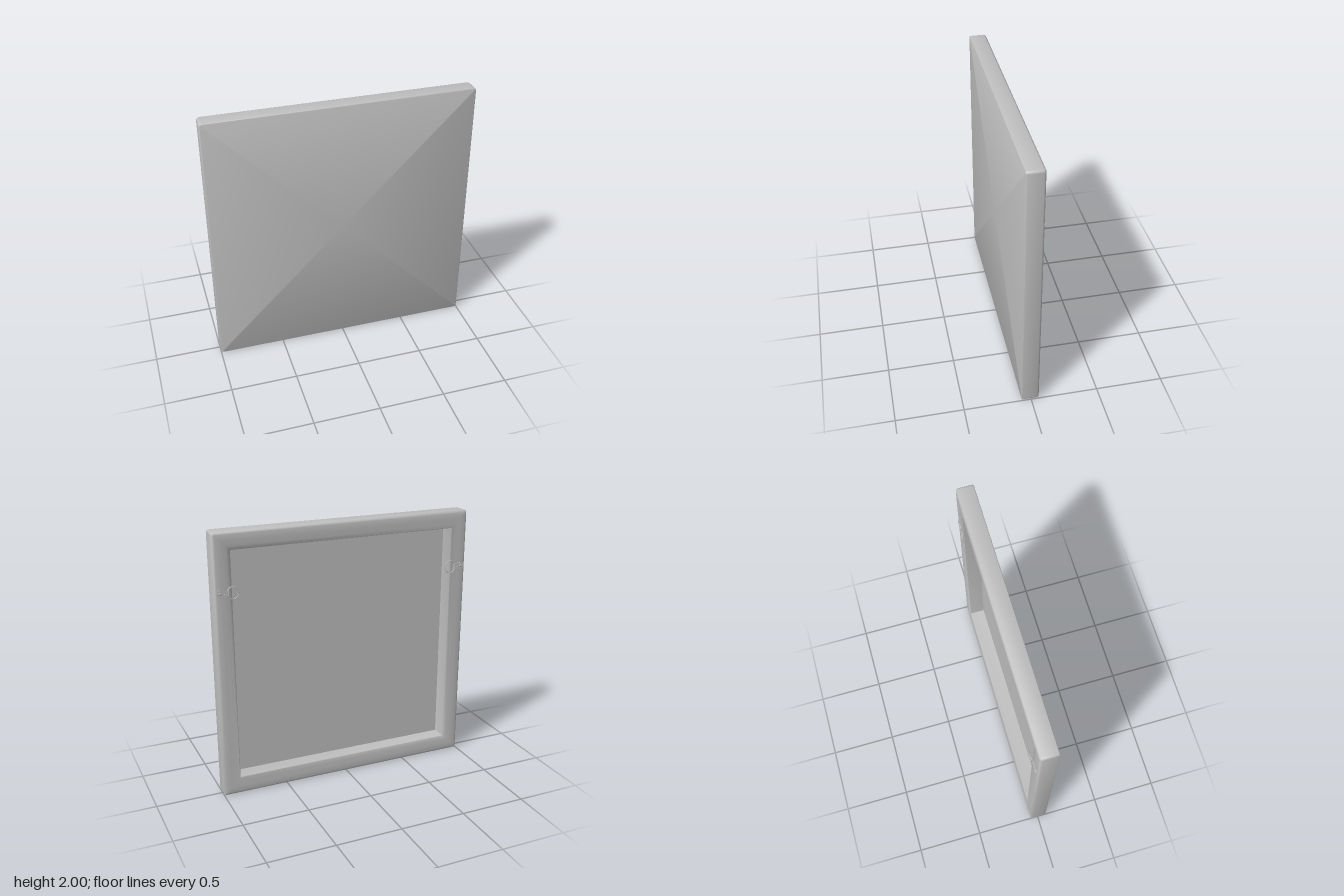
import * as THREE from 'three';
import { toCreasedNormals } from 'three/addons/utils/BufferGeometryUtils.js';

const HANGER_Y = 1.57;
const BACK_Z = -0.062;

// Rounded square outline, counter-clockwise, inset from the outer edge
function ring(inset, z, steps = 4) {
  const half = 1 - inset;
  const r = Math.min(half, Math.max(0.001, 0.02 - inset));
  const points = [];
  for (let corner = 0; corner < 4; corner++) {
    const mid = Math.PI / 4 + corner * Math.PI / 2;
    const cx = Math.sign(Math.cos(mid)) * (half - r);
    const cy = Math.sign(Math.sin(mid)) * (half - r);
    for (let s = 0; s <= steps; s++) {
      const a = (corner + s / steps) * Math.PI / 2;
      points.push([cx + r * Math.cos(a), 1 + cy + r * Math.sin(a), z]);
    }
  }
  return points;
}

// Joins consecutive outlines into one skin
function loft(rings) {
  const n = rings[0].length;
  const index = [];
  for (let k = 0; k < rings.length - 1; k++) {
    for (let j = 0; j < n; j++) {
      const a = k * n + j, b = k * n + (j + 1) % n;
      index.push(a, a + n, b, b, a + n, b + n);
    }
  }
  const geometry = new THREE.BufferGeometry();
  geometry.setAttribute('position', new THREE.Float32BufferAttribute(rings.flat(2), 3));
  geometry.setIndex(index);
  return toCreasedNormals(geometry, 0.75);
}

function createHanger(material) {
  const hanger = new THREE.Group();
  const add = (name, geometry, x, z) => {
    const mesh = new THREE.Mesh(geometry, material);
    mesh.name = name;
    mesh.position.set(x, 0, z);
    hanger.add(mesh);
    return mesh;
  };

  // Round-ended strap with an open screw hole
  const strap = new THREE.Shape();
  strap.absarc(0.955, 0, 0.028, -Math.PI / 2, Math.PI / 2);
  strap.lineTo(0.895, 0.02);
  strap.lineTo(0.895, -0.02);
  const hole = new THREE.Path();
  hole.absarc(0.927, 0, 0.007, 0, Math.PI * 2, true);
  strap.holes.push(hole);
  add('hangerStrap', new THREE.ExtrudeGeometry(strap, { depth: 0.005, bevelEnabled: false, curveSegments: 12 }), 0, BACK_Z - 0.004);

  // Domed screw head
  const screw = add('hangerScrew', new THREE.SphereGeometry(0.012, 16, 8), 0.958, BACK_Z - 0.004);
  screw.scale.z = 0.33;

  // Folded end of the strap that holds the ring
  add('ringSleeve', new THREE.CylinderGeometry(0.005, 0.005, 0.04, 10), 0.898, BACK_Z - 0.003);

  // Wire ring reaching over the opening
  const wire = add('hangerRing', new THREE.TorusGeometry(0.044, 0.0035, 8, 32), 0.866, BACK_Z - 0.0045);
  wire.scale.set(0.95, 1.05, 1);
  return hanger;
}

export function createModel() {
  const model = new THREE.Group();
  const grey = new THREE.MeshStandardMaterial({ color: 0xbfbfbf });
  grey.name = 'canvas grey';

  // Canvas skin: front face, wrapped sides, soft back rails, inner walls, back of the panel
  const profile = [
    [1, 0.07], [0.006, 0.07], [0.002, 0.068], [0, 0.063], [0, -0.044],
    [0.003, -0.052], [0.009, -0.058], [0.02, -0.061], [0.06, BACK_Z], [0.1, -0.06],
    [0.124, -0.056], [0.13, -0.052], [0.13, 0.063], [1, 0.063],
  ];
  const canvas = new THREE.Mesh(loft(profile.map(([inset, z]) => ring(inset, z))), grey);
  canvas.name = 'stretchedCanvas';
  model.add(canvas);

  // A ring hanger on each side rail
  for (const side of ['left', 'right']) {
    const hanger = createHanger(grey);
    hanger.name = side + 'Hanger';
    hanger.position.y = HANGER_Y;
    hanger.rotation.z = side === 'left' ? 0 : Math.PI;
    model.add(hanger);
  }
  return model;
}
